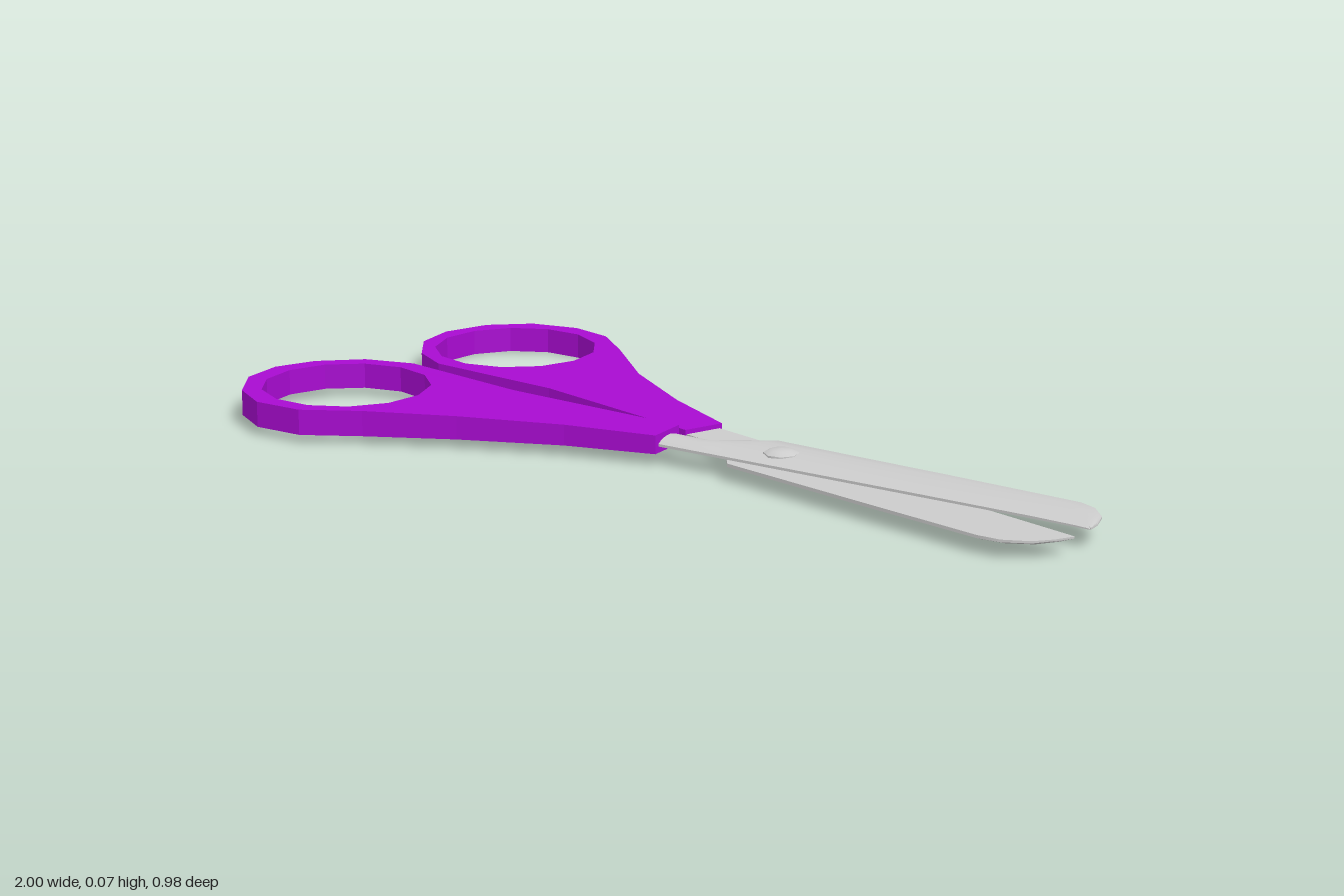
import * as THREE from 'three';
import { toCreasedNormals } from 'three/addons/utils/BufferGeometryUtils.js';

const steel = new THREE.MeshStandardMaterial({ color: 0xcccccc });
const plastic = new THREE.MeshStandardMaterial({ color: 0xa80bd0 });

// Flat handle with a 13-sided finger hole, thinning towards the blade
function makeHandle(name, outline, [cx, cz], flip, midY) {
  const shape = new THREE.Shape(outline.map(([x, z]) => new THREE.Vector2(x, -z)));
  const hole = [];
  for (let i = 0; i < 13; i++) {
    const a = ((i + 0.5) / 13) * Math.PI * 2;
    hole.push(new THREE.Vector2(cx + 0.183 * Math.sin(a), -cz + flip * 0.183 * Math.cos(a)));
  }
  shape.holes.push(new THREE.Path(hole));
  const geo = new THREE.ExtrudeGeometry(shape, { depth: 1, bevelEnabled: false });
  geo.rotateX(-Math.PI / 2);
  const p = geo.attributes.position;
  for (let i = 0; i < p.count; i++) {
    const t = THREE.MathUtils.clamp((p.getX(i) + 0.5) / 0.5, 0, 1);
    const thickness = THREE.MathUtils.lerp(0.055, 0.04, t);
    p.setY(i, midY + (p.getY(i) - 0.5) * thickness);
  }
  geo.computeVertexNormals();
  const mesh = new THREE.Mesh(geo, plastic);
  mesh.name = name;
  return mesh;
}

// Blade and tang: domed outside, flat inside, lofted along x.
// Stations are [x, spine z, cutting edge z, thickness].
const section = [[0, 0], [0, 0.35], [0.2, 0.8], [0.45, 1], [0.7, 1], [0.9, 0.8], [1, 0.45], [1, 0]];
function makeBlade(name, stations, innerY, side) {
  const pos = [], index = [], n = section.length;
  for (const [x, spine, cut, t] of stations)
    for (const [u, h] of section) pos.push(x, innerY + side * h * t, cut + (spine - cut) * u);
  for (let i = 0; i < stations.length - 1; i++)
    for (let j = 0; j < n; j++) {
      const k = (j + 1) % n;
      const a = i * n + j, c = i * n + k, b = a + n, d = c + n;
      index.push(a, b, c, b, d, c);
    }
  const geo = new THREE.BufferGeometry();
  geo.setAttribute('position', new THREE.Float32BufferAttribute(pos, 3));
  geo.setIndex(index);
  const mesh = new THREE.Mesh(toCreasedNormals(geo, 0.6), steel);
  mesh.name = name;
  return mesh;
}

export function createModel() {
  const group = new THREE.Group();

  // Handles
  group.add(makeHandle('frontHandle', [
    [0.02, 0], [-0.01, -0.09], [-0.435, 0.01], [-0.755, 0.037], [-0.855, 0.095],
    [-0.915, 0.19], [-0.93, 0.285], [-0.895, 0.38], [-0.81, 0.455], [-0.71, 0.485],
    [-0.6, 0.455], [-0.505, 0.36], [-0.35, 0.23], [-0.16, 0.095],
  ], [-0.703, 0.257], 1, 0.0455));
  group.add(makeHandle('backHandle', [
    [-0.01, -0.21], [-0.02, -0.117], [-0.45, -0.1], [-0.775, -0.046], [-0.875, -0.075],
    [-0.96, -0.145], [-1, -0.24], [-0.99, -0.35], [-0.93, -0.44], [-0.83, -0.49],
    [-0.725, -0.49], [-0.61, -0.435], [-0.42, -0.33], [-0.205, -0.255],
  ], [-0.78, -0.27], -1, 0.0275));

  // Blades
  const edge = (x) => -0.255 + (0.99 - x) * 0.25;
  const upper = [
    [-0.1, -0.06, 0.016], [0.08, -0.1, 0.016], [0.125, -0.155, 0.016], [0.175, -0.215, 0.016],
    [0.6, -0.303, 0.016], [0.87, -0.36, 0.014], [0.91, -0.355, 0.012], [0.955, -0.325, 0.01],
    [0.98, -0.285, 0.007], [0.99, -0.256, 0.004],
  ].map(([x, spine, t]) => [x, spine, edge(x), t]);
  const lower = [
    [-0.1, -0.12, 0.016], [0.1, -0.12, 0.016], [0.15, -0.078, 0.016], [0.2, -0.037, 0.016],
    [0.6, -0.056, 0.016], [0.87, -0.07, 0.014], [0.92, -0.083, 0.012], [0.965, -0.12, 0.01],
    [0.985, -0.16, 0.007], [0.997, -0.203, 0.004],
  ].map(([x, spine, t]) => [x, spine, -0.204, t]);
  group.add(makeBlade('upperBlade', upper, 0.039, 1));
  group.add(makeBlade('lowerBlade', lower, 0.038, -1));

  // Pivot rivet with chamfered heads
  const profile = [[0, 0.01], [0.022, 0.012], [0.037, 0.021], [0.037, 0.055], [0.022, 0.062], [0, 0.064]]
    .map(([r, y]) => new THREE.Vector2(r, y));
  const rivet = new THREE.Mesh(toCreasedNormals(new THREE.LatheGeometry(profile, 8), 0.9), steel);
  rivet.position.set(0.255, 0, -0.135);
  rivet.name = 'pivotRivet';
  group.add(rivet);

  return group;
}
